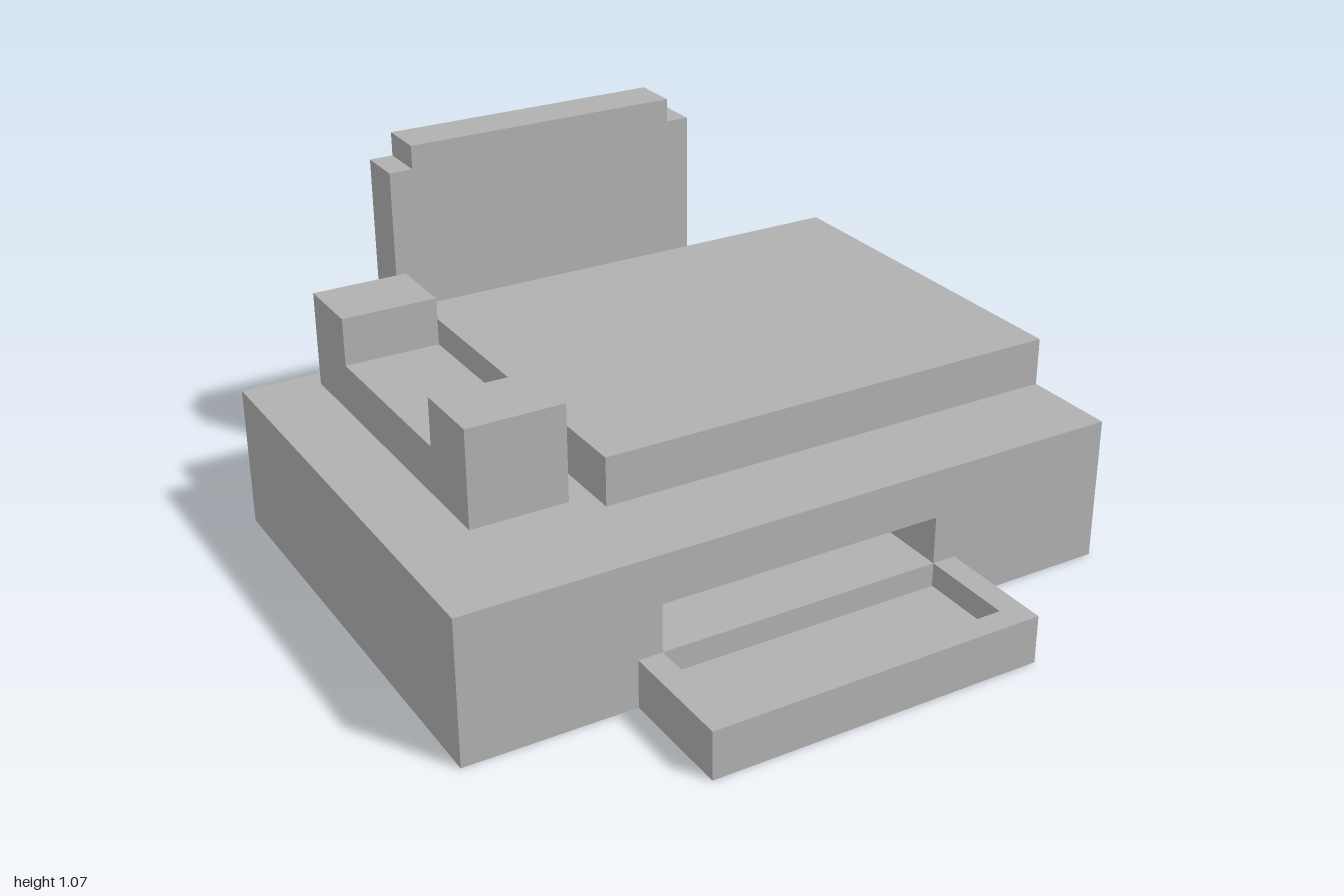
import * as THREE from 'three';

// All sizes are in modules of 1/14 unit, matching the blocky grid of the model.
const U = 1 / 14;

export function createModel() {
  const model = new THREE.Group();
  model.name = 'blockModel';
  const grey = new THREE.MeshStandardMaterial({ color: 0xb0b0b0 });
  grey.name = 'plainGrey';

  const add = (name, geometry, parent = model) => {
    const mesh = new THREE.Mesh(geometry, grey);
    mesh.name = name;
    parent.add(mesh);
    return mesh;
  };
  // Box given by its lower and upper limits on each axis
  const block = (name, [x0, x1], [y0, y1], [z0, z1], parent) => {
    const g = new THREE.BoxGeometry((x1 - x0) * U, (y1 - y0) * U, (z1 - z0) * U);
    g.translate((x0 + x1) / 2 * U, (y0 + y1) / 2 * U, (z0 + z1) / 2 * U);
    return add(name, g, parent);
  };
  const polygon = (points) => points.map(([a, b]) => new THREE.Vector2(a * U, b * U));
  const group = (name) => {
    const g = new THREE.Group();
    g.name = name;
    model.add(g);
    return g;
  };

  // Base with a wide slot in its front face
  const base = group('base');
  const back = -11.5, front = 8.5, slotBack = 3.5;
  block('baseBack', [-14, 14], [0, 6], [back, slotBack], base);
  const face = new THREE.Shape(polygon([[-14, 0], [14, 0], [14, 6], [-14, 6]]));
  face.holes.push(new THREE.Path(polygon([[-6, 2], [-6, 4], [6, 4], [6, 2]])));
  const faceGeometry = new THREE.ExtrudeGeometry(face, { depth: (front - slotBack) * U, bevelEnabled: false });
  faceGeometry.translate(0, 0, slotBack * U);
  add('baseFrontWithSlot', faceGeometry, base);

  // Raised deck, with a short return closing the back of the side channel
  const deck = group('deck');
  block('deckTop', [-6, 14], [6, 8], [back, 4.5], deck);
  block('deckReturn', [-7, -6], [6, 8], [back, -10.5], deck);

  // Side rail with a post at each end
  const rail = group('sideRail');
  block('railBar', [-11, -7], [6, 8], [-7.5, 0.5], rail);
  block('frontPost', [-11, -7], [6, 10], [0.5, 3.5], rail);
  block('rearPost', [-11, -7], [6, 10], [-10.5, -7.5], rail);

  // Open tray below the slot
  const tray = group('tray');
  block('trayFloor', [-6, 6], [0, 1], [front, 12.5], tray);
  block('trayFront', [-7, 7], [0, 2], [12.5, 13.5], tray);
  for (const [name, x] of [['trayRightSide', -7], ['trayLeftSide', 6]]) {
    block(name, [x, x + 1], [0, 2], [front, 12.5], tray);
  }

  // Back panel with stepped top corners and two legs
  const half = [[3, 8], [3, 5], [7, 5], [7, 14], [6, 14], [6, 15]];
  const mirrored = half.map(([x, y]) => [-x, y]).reverse();
  const panel = new THREE.ExtrudeGeometry(new THREE.Shape(polygon([...half, ...mirrored])),
    { depth: 2 * U, bevelEnabled: false });
  panel.translate(0, 0, -13.5 * U);
  add('backPanel', panel);

  return model;
}
